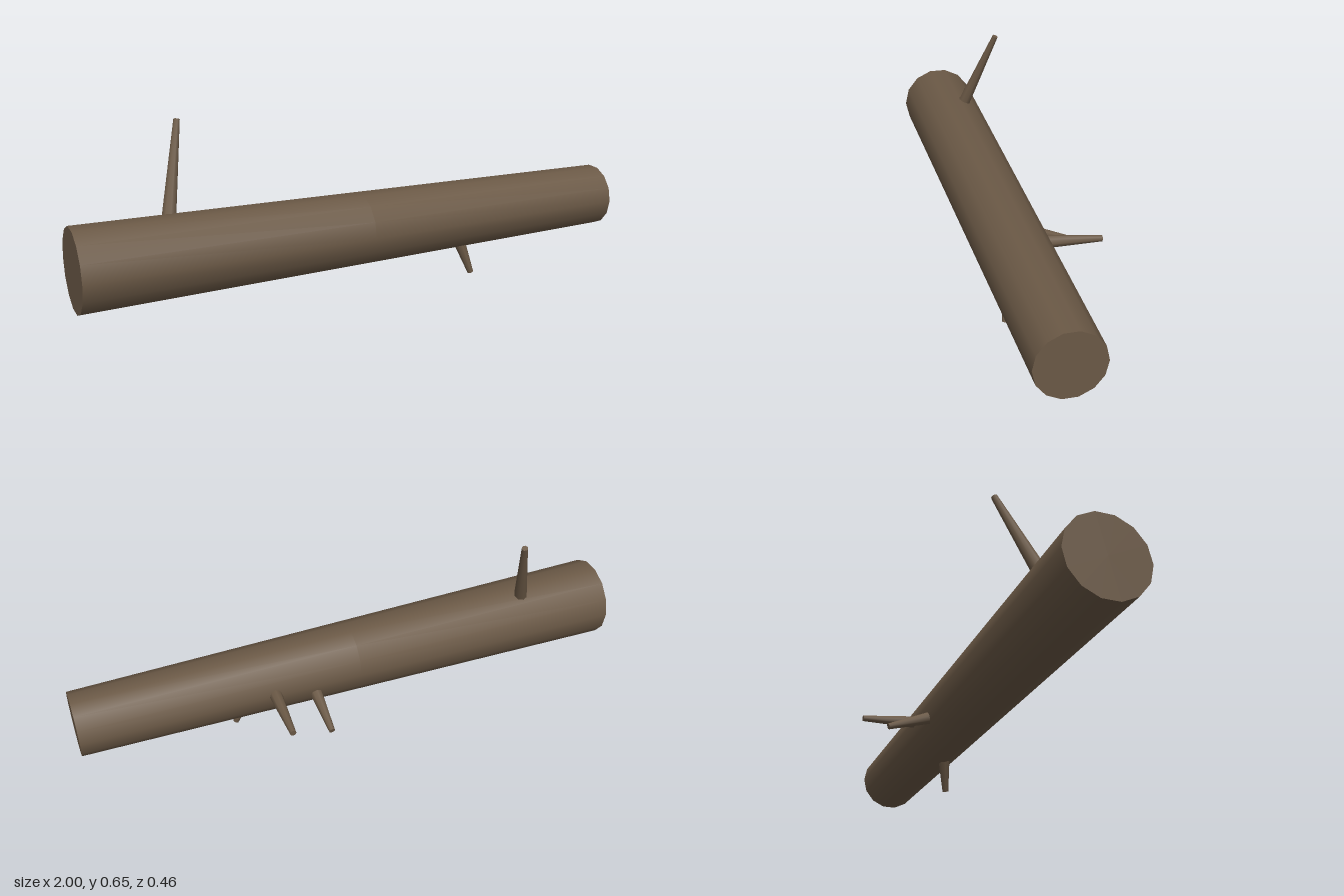
import * as THREE from 'three';

const bark = new THREE.MeshStandardMaterial({ color: 0x6b5946 });
bark.name = 'bark brown';

// Tapered round limb running from one point to another
function limb(name, from, to, rFrom, rTo, sides, rings = 1) {
  const a = new THREE.Vector3(...from);
  const b = new THREE.Vector3(...to);
  const dir = b.clone().sub(a);
  const mesh = new THREE.Mesh(
    new THREE.CylinderGeometry(rTo, rFrom, dir.length(), sides, rings), bark);
  mesh.name = name;
  mesh.position.copy(a).add(b).multiplyScalar(0.5);
  mesh.quaternion.setFromUnitVectors(new THREE.Vector3(0, 1, 0), dir.normalize());
  return mesh;
}

export function createModel() {
  const group = new THREE.Group();
  group.name = 'fallenLog';

  // Trunk lying along x, thick end at -x
  group.add(limb('trunk', [-0.999, 0.232, 0.0865], [0.999, 0.216, 0.0835], 0.142, 0.1125, 14, 2));

  // Broken branch stubs, rooted just inside the trunk
  const stubs = [
    ['upperBranch', [-0.672, 0.335, 0.043], [-0.594, 0.641, -0.077], 0.025, 0.011],
    ['lowerBranch', [0.385, 0.135, 0.11], [0.429, 0.004, 0.133], 0.023, 0.011],
    ['backBranchLong', [0.318, 0.225, 0], [0.322, 0.212, -0.229], 0.025, 0.011],
    ['backBranchShort', [0.168, 0.192, 0], [0.165, 0.128, -0.178], 0.024, 0.011],
  ];
  for (const [name, from, to, r0, r1] of stubs) group.add(limb(name, from, to, r0, r1, 8));

  return group;
}
